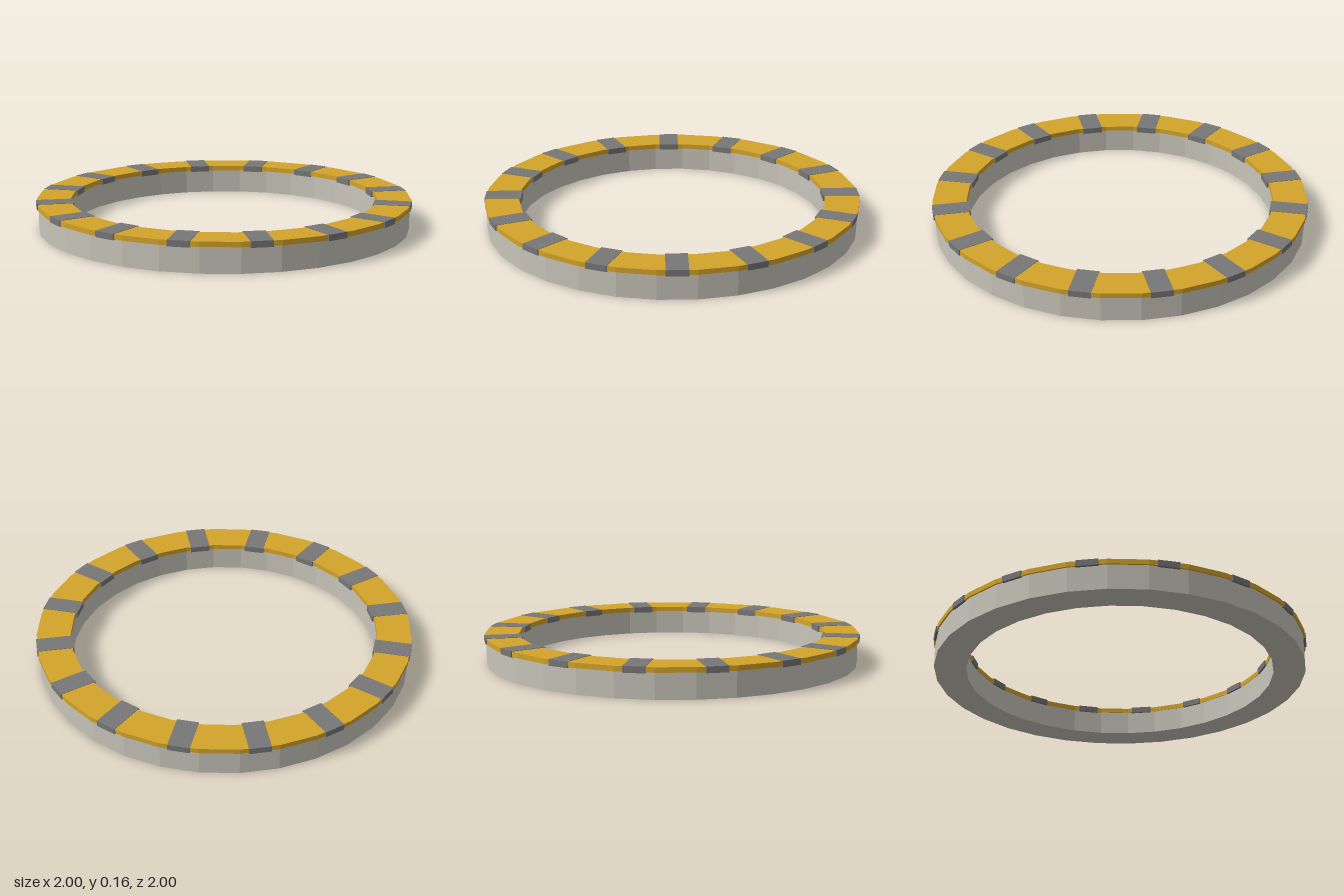
import * as THREE from 'three';

const SIDES = 32;
const BLOCKS = 16;

// Closed polygon with a flat side centred on each axis
function polygon(radius) {
  return Array.from({ length: SIDES }, (_, i) => {
    const a = ((i + 0.5) / SIDES) * Math.PI * 2;
    return new THREE.Vector2(Math.cos(a) * radius, Math.sin(a) * radius);
  });
}

// Flat faceted ring from height y0 to y1
function ring(name, outer, inner, y0, y1, color) {
  const shape = new THREE.Shape(polygon(outer));
  shape.holes.push(new THREE.Path(polygon(inner)));
  const geometry = new THREE.ExtrudeGeometry(shape, { depth: y1 - y0, bevelEnabled: false });
  geometry.rotateX(-Math.PI / 2).translate(0, y0, 0);
  const mesh = new THREE.Mesh(geometry, new THREE.MeshStandardMaterial({ color, flatShading: true }));
  mesh.name = name;
  return mesh;
}

export function createModel() {
  const model = new THREE.Group();
  model.name = 'segmentedRing';

  // Tall base ring and the thin gold band on top of it
  model.add(ring('baseRing', 0.99, 0.82, 0, 0.13, 0xc8c5ba));
  model.add(ring('goldBand', 0.998, 0.817, 0.13, 0.156, 0xd4a42a));

  // Grey blocks set across the band, slightly proud of it
  const blocks = new THREE.Group();
  blocks.name = 'blocks';
  const geometry = new THREE.BoxGeometry(0.194, 0.032, 0.11).translate(0.902, 0.142, 0);
  const material = new THREE.MeshStandardMaterial({ color: 0x777777, flatShading: true });
  for (let i = 0; i < BLOCKS; i++) {
    const block = new THREE.Mesh(geometry, material);
    block.name = `block${i + 1}`;
    block.rotation.y = (i / BLOCKS) * Math.PI * 2;
    blocks.add(block);
  }
  model.add(blocks);
  return model;
}
